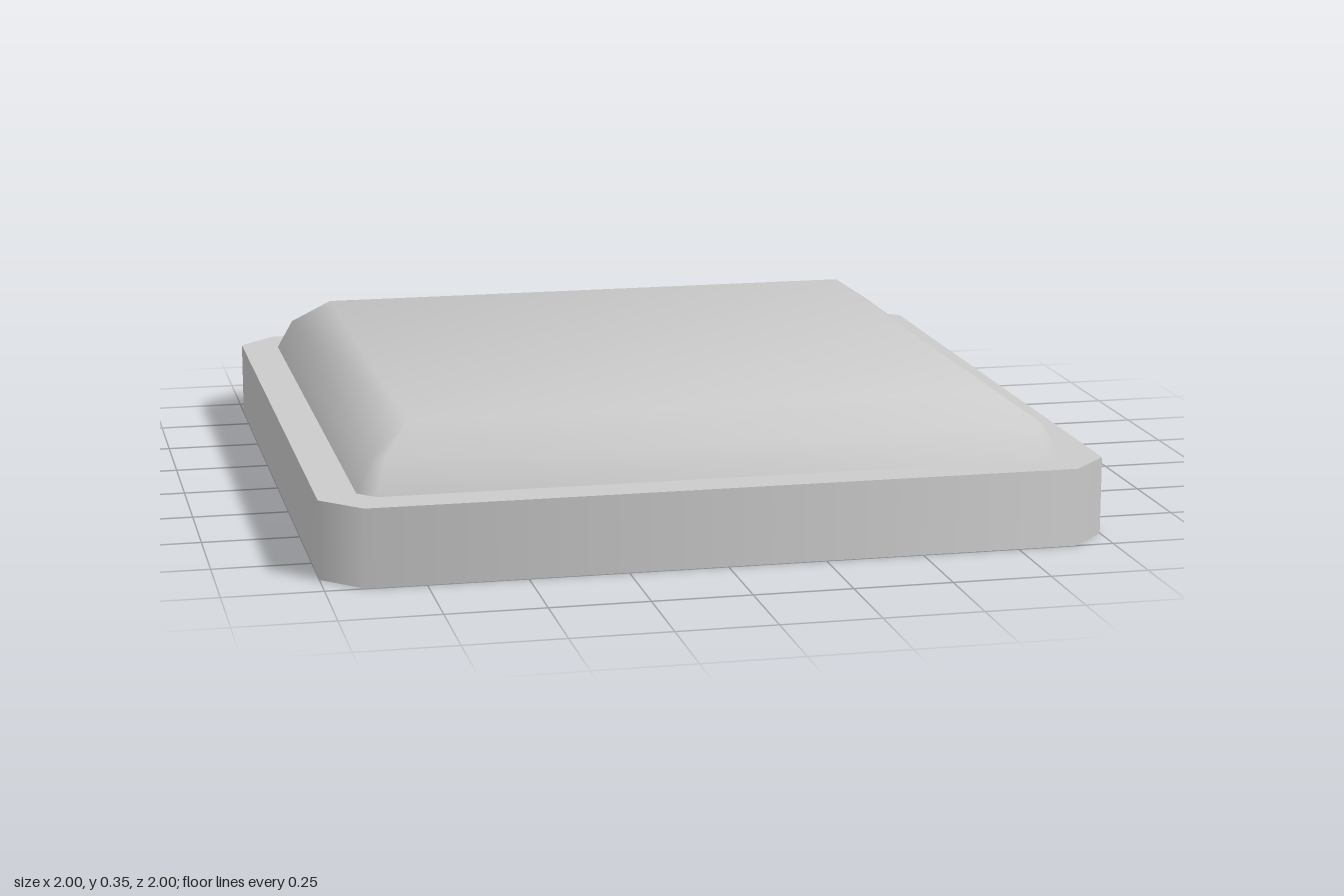
import * as THREE from 'three';

const material = new THREE.MeshStandardMaterial({ color: 0xcccccc, side: THREE.DoubleSide });

// Square loop with cut corners, counter-clockwise from above: [x, z, outX, outZ]
function cutSquare(half, cut) {
  const points = [];
  for (let k = 0; k < 4; k++) {
    const c = Math.round(Math.cos(k * Math.PI / 2)), s = Math.round(Math.sin(k * Math.PI / 2));
    for (const [u, v] of [[half, half - cut], [half - cut, half]]) {
      const a = cut === 0 ? Math.PI / 4 : u > v ? Math.PI / 8 : Math.PI * 3 / 8;
      const n = [Math.cos(a), Math.sin(a)];
      points.push([u * c - v * s, -(u * s + v * c), n[0] * c - n[1] * s, -(n[0] * s + n[1] * c)]);
    }
  }
  return points;
}

// Skin a stack of loops; each loop also sets how its normals lean (out, up)
function loft(name, loops, cap = false) {
  const positions = [], normals = [], index = [];
  for (const { half, cut, y, out, up } of loops) {
    for (const [x, z, nx, nz] of cutSquare(half, cut)) {
      positions.push(x, y, z);
      const n = new THREE.Vector3(nx * out, up, nz * out).normalize();
      normals.push(n.x, n.y, n.z);
    }
  }
  for (let j = 0; j < loops.length - 1; j++) {
    for (let i = 0; i < 8; i++) {
      const a = j * 8 + i, b = j * 8 + (i + 1) % 8;
      index.push(a, b, b + 8, a, b + 8, a + 8);
    }
  }
  if (cap) {
    const t = (loops.length - 1) * 8;
    index.push(t, t + 2, t + 4, t, t + 4, t + 6);
  }
  const geometry = new THREE.BufferGeometry();
  geometry.setAttribute('position', new THREE.Float32BufferAttribute(positions, 3));
  geometry.setAttribute('normal', new THREE.Float32BufferAttribute(normals, 3));
  geometry.setIndex(index);
  const mesh = new THREE.Mesh(geometry, material);
  mesh.name = name;
  return mesh;
}

export function createModel() {
  const model = new THREE.Group();
  model.name = 'domedPanel';

  // Square frame: four strips with sharp edges between them
  const frame = new THREE.Group();
  frame.name = 'frame';
  const outer = { half: 1, cut: 0.1 }, inner = { half: 0.9, cut: 0.045 };
  const strip = (name, a, ya, b, yb, out, up) => frame.add(loft(name, [
    { ...a, y: ya, out, up }, { ...b, y: yb, out, up },
  ]));
  strip('outerWall', outer, 0, outer, 0.2, 1, 0);
  strip('topRim', outer, 0.2, inner, 0.2, 0, 1);
  strip('innerWall', inner, 0.2, inner, 0, -1, 0);
  strip('bottomRim', inner, 0, outer, 0, 0, -1);

  // Thin domed cover, open underneath
  const dome = loft('dome', [
    { half: 0.9, cut: 0.045, y: 0.2, out: 0.88, up: 0.47 },
    { half: 0.86, cut: 0.03, y: 0.28, out: 0.75, up: 0.66 },
    { half: 0.757, cut: 0, y: 0.35, out: 0.3, up: 0.95 },
  ], true);

  model.add(frame, dome);
  return model;
}
